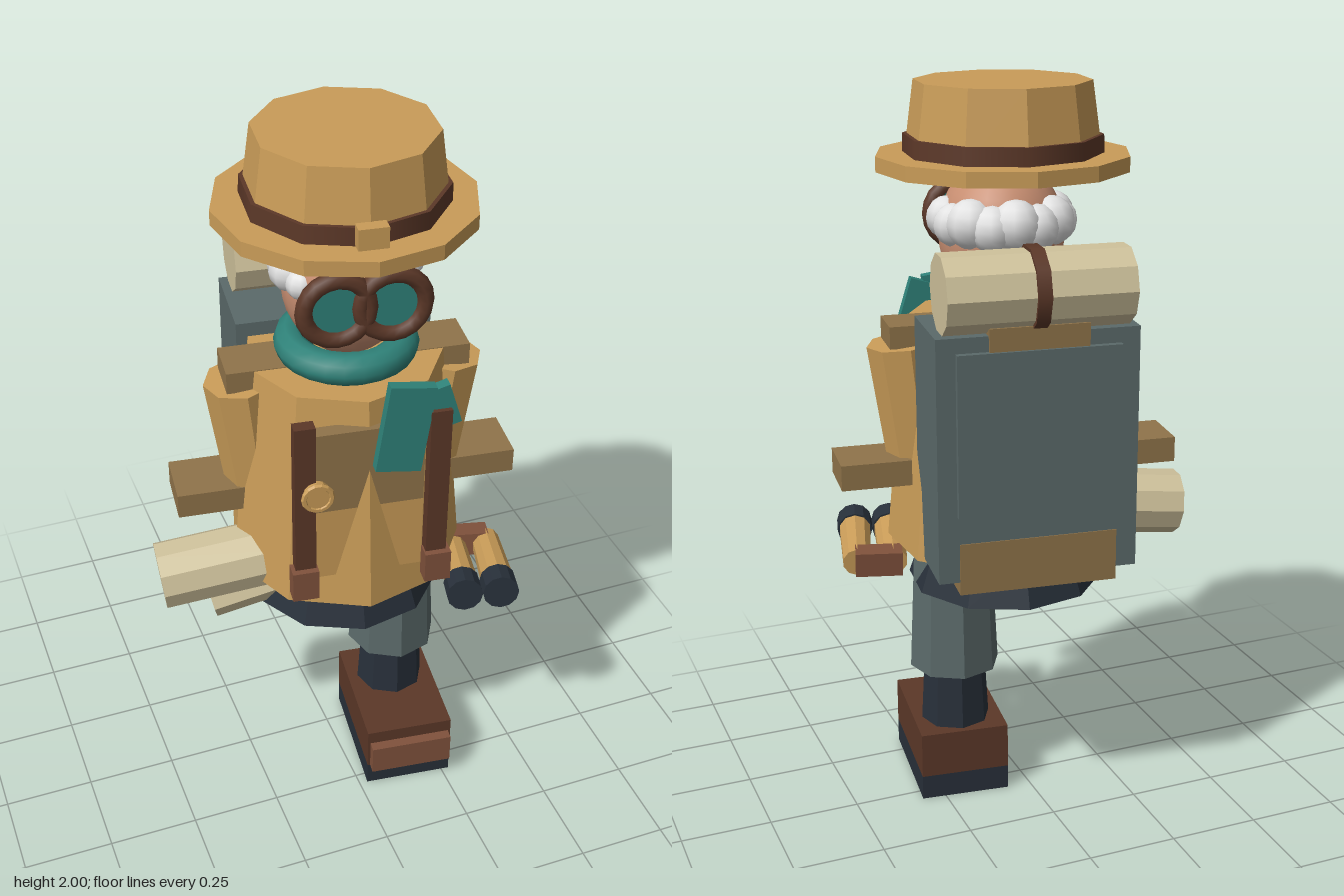
import * as THREE from 'three';

const mat = (name, color, flatShading = false) => {
  const m = new THREE.MeshStandardMaterial({ color, flatShading });
  m.name = name;
  return m;
};

export function createModel() {
  const M = {
    tan: mat('tan canvas', 0xc99c58, true),
    darkTan: mat('dark canvas', 0x90744a, true),
    brown: mat('dark leather', 0x5c3828),
    russet: mat('russet leather', 0x80523c),
    teal: mat('teal cloth', 0x2f8279),
    cream: mat('cream roll', 0xcfc29c, true),
    navy: mat('dark navy', 0x28303a, true),
    slate: mat('slate grey', 0x5b6a6a, true),
    skin: mat('skin', 0xc98f72),
    white: mat('white hair', 0xe2e2e2),
  };

  const model = new THREE.Group();
  model.name = 'explorer';
  // the whole figure turns slightly to one side
  const figure = new THREE.Group();
  figure.name = 'figure';
  figure.position.set(0.035, 0, 0.03);
  figure.rotation.y = -0.124;
  model.add(figure);

  const add = (name, geo, m, x = 0, y = 0, z = 0, parent = figure) => {
    const mesh = new THREE.Mesh(geo, m);
    mesh.name = name;
    mesh.position.set(x, y, z);
    parent.add(mesh);
    return mesh;
  };
  const box = (name, m, w, h, d, x, y, z, parent) =>
    add(name, new THREE.BoxGeometry(w, h, d), m, x, y, z, parent);
  // upright tapered cylinder between two heights
  const drum = (name, m, rTop, rBottom, y0, y1, n, x = 0, z = 0) =>
    add(name, new THREE.CylinderGeometry(rTop, rBottom, y1 - y0, n), m, x, (y0 + y1) / 2, z);
  // tapered cylinder from point a to point b
  const rod = (name, m, a, b, ra, rb, n, parent) => {
    const p = new THREE.Vector3(...a), q = new THREE.Vector3(...b);
    const dir = q.clone().sub(p);
    const c = p.clone().add(q).multiplyScalar(0.5);
    const mesh = add(name, new THREE.CylinderGeometry(rb, ra, dir.length(), n), m, c.x, c.y, c.z, parent);
    mesh.quaternion.setFromUnitVectors(new THREE.Vector3(0, 1, 0), dir.normalize());
    return mesh;
  };

  // boot and single leg
  box('sole', M.navy, 0.25, 0.07, 0.36, 0.145, 0.035, 0.073);
  box('boot', M.brown, 0.25, 0.13, 0.36, 0.145, 0.135, 0.073);
  box('toeCap', M.russet, 0.235, 0.09, 0.04, 0.145, 0.115, 0.262);
  drum('lowerLeg', M.navy, 0.088, 0.098, 0.2, 0.38, 8, 0.147, 0.007);
  drum('upperLeg', M.slate, 0.11, 0.127, 0.37, 0.74, 8, 0.147, 0.007);

  // coat
  drum('hips', M.navy, 0.225, 0.27, 0.63, 0.76, 10);
  drum('coat', M.tan, 0.265, 0.325, 0.76, 1.38, 9);
  box('chestPanel', M.darkTan, 0.29, 0.24, 0.04, 0, 1.19, 0.264);
  box('lowerPanel', M.tan, 0.29, 0.215, 0.04, 0, 0.9625, 0.264);

  // arms and chest straps, mirrored
  for (const s of [-1, 1]) {
    const side = s > 0 ? 'left' : 'right';
    box(side + 'Shoulder', M.darkTan, 0.16, 0.06, 0.13, s * 0.243, 1.352, 0);
    rod(side + 'Arm', M.tan, [s * 0.238, 0.98, 0], [s * 0.275, 1.325, 0], 0.085, 0.1, 8);
    box(side + 'Hand', M.darkTan, 0.19, 0.07, 0.16, s * 0.372, 0.985, -0.01);
    box(side + 'Strap', M.brown, 0.055, 0.46, 0.035, s * 0.175, 1.13, 0.3);
    box(side + 'StrapEnd', M.russet, 0.07, 0.09, 0.045, s * 0.178, 0.872, 0.312);
  }
  const compass = new THREE.Group();
  compass.name = 'compass';
  compass.position.set(-0.147, 1.16, 0.325);
  figure.add(compass);
  rod('compassCase', M.tan, [0, 0, -0.015], [0, 0, 0.015], 0.035, 0.035, 12, compass);
  add('compassRim', new THREE.TorusGeometry(0.036, 0.008, 6, 14), M.tan, 0, 0, 0.012, compass);

  // scarf
  const scarf = add('scarf', new THREE.TorusGeometry(0.145, 0.044, 10, 24), M.teal, 0, 1.42, 0.025);
  scarf.rotation.x = Math.PI / 2;
  box('scarfTail', M.teal, 0.12, 0.25, 0.03, 0.084, 1.315, 0.3).rotation.z = -0.14;
  box('scarfShortTail', M.teal, 0.08, 0.12, 0.03, 0.175, 1.36, 0.29).rotation.z = 0.3;

  // head and hair around the back
  add('head', new THREE.SphereGeometry(1, 24, 16), M.skin, 0, 1.6, 0.02).scale.set(0.168, 0.2, 0.172);
  for (let i = 0; i <= 10; i++) {
    const t = (i / 10) * 2 - 1;
    const a = Math.PI + t * 2.05;
    const r = 0.062 - 0.02 * Math.abs(t) ** 3 + (i % 2) * 0.005;
    add('hair', new THREE.SphereGeometry(r, 10, 8), M.white,
      Math.sin(a) * 0.145, 1.64 + (i % 2) * 0.01 - 0.005, 0.02 + Math.cos(a) * 0.148);
  }

  // goggles
  for (const s of [-1, 1]) {
    add('goggleRim', new THREE.TorusGeometry(0.082, 0.023, 8, 20), M.brown, s * 0.07, 1.622, 0.208);
    rod('goggleLens', M.teal, [s * 0.07, 1.622, 0.19], [s * 0.07, 1.622, 0.213], 0.07, 0.07, 20);
  }

  // hat
  drum('hatBrim', M.tan, 0.337, 0.337, 1.775, 1.815, 12);
  drum('hatCrown', M.tan, 0.232, 0.258, 1.81, 2, 10);
  drum('hatBand', M.brown, 0.262, 0.264, 1.815, 1.862, 10);
  box('hatBuckle', M.tan, 0.075, 0.055, 0.035, 0, 1.845, 0.265);

  // backpack with bedroll
  box('backpack', M.slate, 0.53, 0.65, 0.25, 0, 1.095, -0.23);
  box('backpackFlap', M.slate, 0.43, 0.43, 0.03, 0, 1.165, -0.358);
  box('backpackBase', M.darkTan, 0.42, 0.14, 0.236, 0, 0.805, -0.24);
  box('rollSupport', M.darkTan, 0.26, 0.08, 0.06, 0, 1.4, -0.335);
  rod('bedroll', M.cream, [-0.243, 1.52, -0.302], [0.243, 1.52, -0.302], 0.103, 0.103, 10);
  rod('bedrollStrap', M.brown, [-0.018, 1.52, -0.302], [0.018, 1.52, -0.302], 0.112, 0.112, 10);

  // rolled maps at the right hip
  rod('largeRoll', M.cream, [-0.53, 0.765, 0.076], [-0.2, 0.8, 0.076], 0.093, 0.093, 10);
  rod('smallRoll', M.cream, [-0.39, 0.645, 0.06], [-0.15, 0.7, 0.06], 0.055, 0.055, 8);

  // binoculars at the left hip
  const binoculars = new THREE.Group();
  binoculars.name = 'binoculars';
  binoculars.position.set(0.345, 0.7, 0.16);
  binoculars.rotation.set(-0.1, -0.14, 0);
  figure.add(binoculars);
  for (const s of [-1, 1]) {
    rod('barrel', M.tan, [s * 0.05, 0, -0.13], [s * 0.05, 0, 0.08], 0.04, 0.046, 10, binoculars);
    rod('barrelEnd', M.navy, [s * 0.05, 0, 0.07], [s * 0.05, 0, 0.135], 0.05, 0.05, 12, binoculars);
  }
  box('binocularCase', M.russet, 0.13, 0.07, 0.06, -0.01, 0.005, -0.13, binoculars);
  box('binocularStrap', M.brown, 0.015, 0.08, 0.02, 0.23, 0.79, 0.19);

  return model;
}
